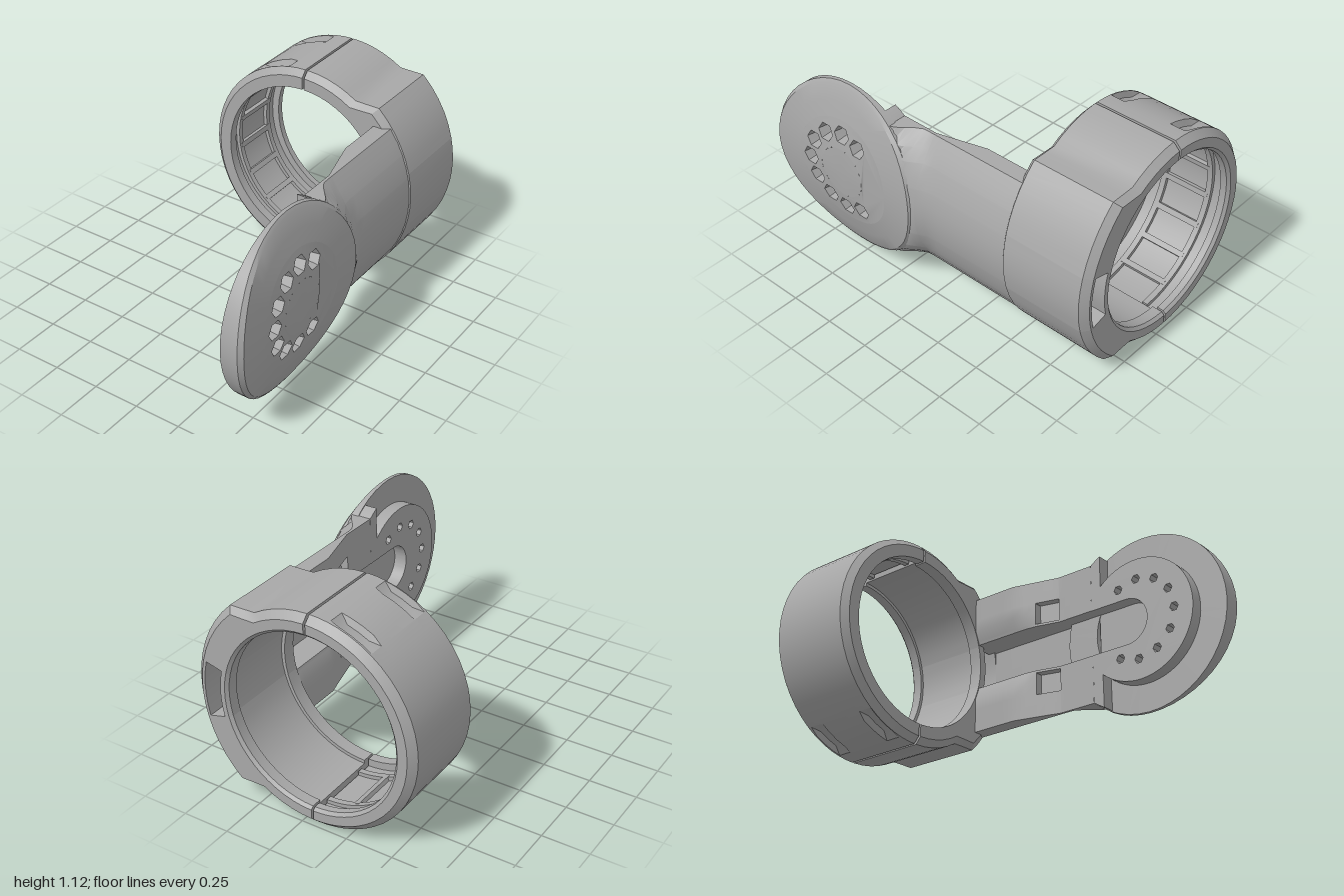
import * as THREE from 'three';
import { toCreasedNormals } from 'three/addons/utils/BufferGeometryUtils.js';

const CY = 0.56, CZ = -0.06, DX = -0.52;   // ring axis (y, z) and disc centre x
const ARM = 0.385, SLOT = 0.125;           // half heights of the arm and its channel
const rad = THREE.MathUtils.degToRad;
const lerp = THREE.MathUtils.lerp;

// Skin a row of closed cross-sections; contour (2D) closes both ends.
function loft(sections, contour) {
  const n = sections[0].length, index = [];
  for (let i = 0; i < sections.length - 1; i++) {
    for (let j = 0; j < n; j++) {
      const a = i * n + j, b = i * n + (j + 1) % n;
      index.push(a, b, b + n, a, b + n, a + n);
    }
  }
  if (contour) {
    const last = (sections.length - 1) * n;
    for (const [a, b, c] of THREE.ShapeUtils.triangulateShape(contour, [])) {
      index.push(c, b, a, a + last, b + last, c + last);
    }
  }
  const geo = new THREE.BufferGeometry();
  geo.setAttribute('position', new THREE.Float32BufferAttribute(sections.flat(2), 3));
  geo.setIndex(index);
  return toCreasedNormals(geo, 0.5);
}

// Evenly spaced values through a list of break points.
function steps(breaks, size) {
  const out = [breaks[0]];
  for (let i = 1; i < breaks.length; i++) {
    const n = Math.ceil((breaks[i] - breaks[i - 1]) / size);
    for (let k = 1; k <= n; k++) out.push(lerp(breaks[i - 1], breaks[i], k / n));
  }
  return out;
}

// Sweep an (x, radius) profile around the ring axis; angle 0 faces the front.
function sweep(angles, profile) {
  const sections = angles.map((d) => profile(d).map(([x, r]) =>
    [x, CY + r * Math.sin(rad(d)), CZ + r * Math.cos(rad(d))]));
  return loft(sections, profile(angles[0]).map(([x, r]) => new THREE.Vector2(x, r)));
}

// Outer radius: round, with a flat shoulder and a fuller front.
function outer(d) {
  const a = Math.abs(d);
  if (a < 47.8) return 0.641;
  return a < 58.2 ? 0.475 / Math.sin(rad(a)) : 0.56;
}

const outerEdge = (r) => [[0.49, r - 0.035], [0.52, r], [0.965, r], [1, r - 0.035]];
const innerEdge = [[1, 0.475], [0.985, 0.46], [0.93, 0.46], [0.93, 0.478],
  [0.56, 0.478], [0.56, 0.46], [0.49, 0.46]];

// Disc front, bowed in y only, and the arm front, an arc around the ring axis.
const discFront = (y) => 0.615 - 0.4 * (y - CY) ** 2;
function armFront(x, y) {
  const t = THREE.MathUtils.smoothstep(Math.hypot(x - DX, y - CY), 0.46, 0.58);
  return lerp(discFront(y) - 0.008, CZ + Math.sqrt(0.635 ** 2 - (y - CY) ** 2), t);
}

// Arm back: sloping flat, hollowed near the ring, with channel and two square pockets.
function armBack(x, y) {
  const dy = Math.abs(y - CY);
  if (dy < SLOT) return 0.53;
  const flat = lerp(0.43, 0.36, THREE.MathUtils.clamp((x + 0.03) / 0.26, 0, 1));
  const z = Math.max(flat, CZ + Math.sqrt(0.465 ** 2 - dy * dy));
  return x > -0.03 && x < 0.1 && dy > 0.14 && dy < 0.26 ? z + 0.04 : z;
}

function bend(geo) {
  const p = geo.attributes.position;
  for (let i = 0; i < p.count; i++) p.setZ(i, discFront(p.getY(i)));
  geo.computeVertexNormals();
  return geo;
}

export function createModel() {
  const model = new THREE.Group();
  const grey = new THREE.MeshStandardMaterial({ color: 0xa8a8a8, side: THREE.DoubleSide });
  grey.name = 'plain grey';
  const add = (name, geo, parent = model) => {
    const mesh = new THREE.Mesh(geo, grey);
    mesh.name = name;
    parent.add(mesh);
    return mesh;
  };

  // Front half of the ring, with a tunnel through its thick wall
  const front = new THREE.Group();
  front.name = 'frontRingHalf';
  model.add(front);
  const upper = steps([14.5, 47.8, 58.2, 89.5], 7);
  const wall = (d) => [...outerEdge(outer(d)), ...innerEdge];
  add('upperWall', sweep(upper, wall), front);
  add('lowerWall', sweep(upper.map((d) => -d).reverse(), wall), front);
  const middle = steps([-14.5, 14.5], 6);
  add('tunnelOuterWall', sweep(middle, (d) => [...outerEdge(outer(d)), [1, 0.59], [0.49, 0.59]]), front);
  add('tunnelInnerWall', sweep(middle, () => [[0.49, 0.5], [1, 0.5], ...innerEdge]), front);

  // Back half of the ring, with long dents outside and rails inside
  const back = new THREE.Group();
  back.name = 'backRingHalf';
  model.add(back);
  const dents = [[0.525, 0], [0.535, 1], [0.6, 1], [0.615, 0], [0.865, 0], [0.88, 1], [0.945, 1], [0.955, 0]];
  const backAngles = steps([90.8, 101, 106, 119, 125, 235, 241, 254, 259, 269.2], 7);
  add('backWall', sweep(backAngles, (d) => {
    const off = Math.abs(180 - d);
    const deep = off > 60 - 1 && off < 74 + 1 ? 0.03 : 0;
    return [[0.49, 0.525], [0.52, 0.56], ...dents.map(([x, k]) => [x, 0.56 - k * deep]),
      [0.965, 0.56], [1, 0.525], [1, 0.475], [0.985, 0.46], [0.95, 0.46], [0.95, 0.5],
      [0.89, 0.5], [0.89, 0.48], [0.86, 0.48], [0.86, 0.5], [0.63, 0.5], [0.63, 0.48],
      [0.6, 0.48], [0.6, 0.5], [0.54, 0.5], [0.54, 0.46], [0.49, 0.46]];
  }), back);
  for (let d = 110; d <= 250; d += 20) {
    const rib = add('innerRib', new THREE.BoxGeometry(0.26, 0.03, 0.03), back);
    rib.position.set(0.745, CY + 0.493 * Math.sin(rad(d)), CZ + 0.493 * Math.cos(rad(d)));
    rib.rotation.x = -rad(d);
  }

  // Arm, a lofted bar between ring and disc
  const e = 0.001;
  const xs = [...steps([-0.24, -0.03 - e], 0.04), ...steps([-0.03 + e, 0.1 - e], 0.05),
    ...steps([0.1 + e, 0.23, 0.53], 0.1)];
  const half = [0, 0.06, SLOT - e, SLOT + e, 0.14 - e, 0.14 + e, 0.2, 0.26 - e, 0.26 + e, 0.32, ARM];
  const ys = [...half.slice(1).reverse().map((d) => CY - d), ...half.map((d) => CY + d)];
  add('arm', loft(xs.map((x) => [
    ...ys.map((y) => [x, y, armFront(x, y)]),
    ...[...ys].reverse().map((y) => [x, y, armBack(x, y)]),
  ])));

  // Disc rim: back face, edge and outer front, swept round the disc centre
  const rim = [[0.3, 0], [0.48, 0], [0.48, 0.8], [0.462, 1], [0.38, 1], [0.3, 1]];
  const turns = Array.from({ length: 49 }, (_, i) => (i / 48) * Math.PI * 2);
  add('discRim', loft(turns.map((a) => rim.map(([r, t]) => {
    const y = CY + r * Math.sin(a);
    return [DX + r * Math.cos(a), y, lerp(0.5, discFront(y), t)];
  }))));

  // Pattern of nine tapered six-sided holes in a C
  const spots = Array.from({ length: 9 }, (_, i) => rad(60 + i * 30))
    .map((a) => [DX + 0.22 * Math.cos(a), CY + 0.22 * Math.sin(a)]);
  const hexagon = ([x, y], r) => Array.from({ length: 6 }, (_, i) =>
    new THREE.Vector2(x + r * Math.cos(i * Math.PI / 3), y + r * Math.sin(i * Math.PI / 3)));
  const plate = new THREE.Shape().absarc(DX, CY, 0.3, 0, Math.PI * 2);
  plate.holes.push(new THREE.Path().absarc(DX, CY, 0.14, 0, Math.PI * 2, true));
  for (const s of spots) plate.holes.push(new THREE.Path(hexagon(s, 0.05)));
  add('discHolePlate', bend(new THREE.ShapeGeometry(plate, 48)));
  add('discCentre', bend(new THREE.CircleGeometry(0.14, 48).translate(DX, CY, 0)));
  for (const s of spots) {
    add('taperedHole', loft([
      hexagon(s, 0.05).map((p) => [p.x, p.y, discFront(p.y)]),
      hexagon(s, 0.03).map((p) => [p.x, p.y, 0.5]),
    ]));
  }

  // Raised boss behind the disc, widening into the neck, with the channel's round end
  const boss = new THREE.Shape();
  boss.absarc(DX, CY, 0.33, rad(48), rad(312));
  boss.absarc(DX, CY, 0.475, rad(-62.5), rad(-54));
  boss.lineTo(-0.24, CY - SLOT);
  boss.absarc(-0.455, CY, SLOT, rad(270), rad(90), true);
  boss.lineTo(-0.24, CY + SLOT);
  boss.absarc(DX, CY, 0.475, rad(54), rad(62.5));
  for (const s of spots) boss.holes.push(new THREE.Path(hexagon(s, 0.025)));
  const bossGeo = new THREE.ExtrudeGeometry(boss, { depth: 0.075, bevelEnabled: false, curveSegments: 24 });
  add('backBoss', toCreasedNormals(bossGeo.translate(0, 0, 0.43), 0.5));
  add('channelFloor', new THREE.BoxGeometry(0.36, 0.27, 0.03)).position.set(-0.42, CY, 0.518);

  return model;
}
